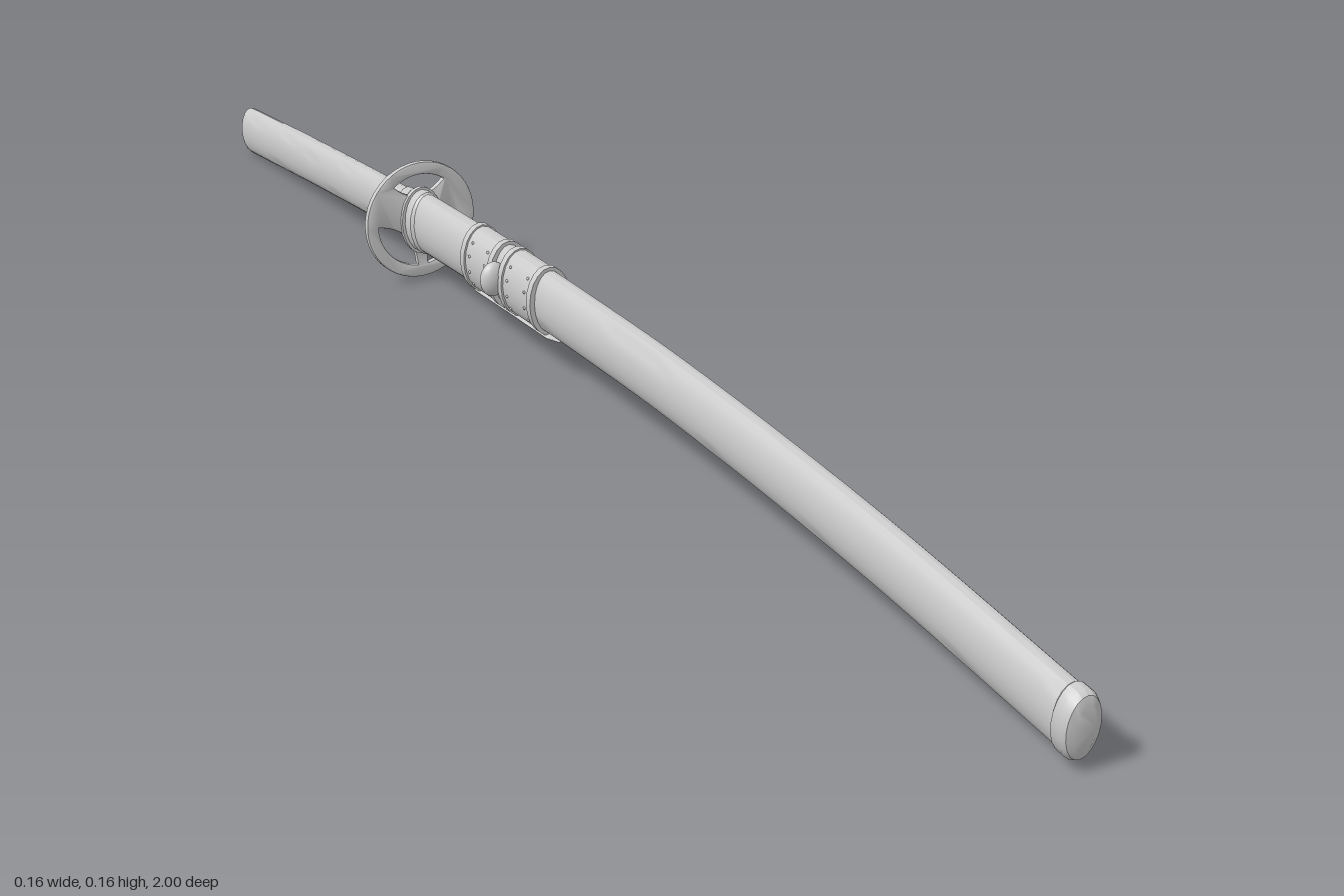
import * as THREE from 'three';
import { toCreasedNormals } from 'three/addons/utils/BufferGeometryUtils.js';

const SIDES = 20;
const GUARD_Z = -0.46;

// Height of the curved centre line along z
const curve = new THREE.CubicInterpolant(
  [-1, -0.75, -0.46, -0.2, 0, 0.2, 0.6, 1],
  [0.035, 0.0615, 0.087, 0.1, 0.105, 0.106, 0.09, 0.055], 1, new Float32Array(1));
const centreY = z => curve.evaluate(THREE.MathUtils.clamp(z, -1, 1))[0];
const slope = z => (centreY(z + 0.01) - centreY(z - 0.01)) / (Math.min(z + 0.01, 1) - Math.max(z - 0.01, -1));

// Loft of oval rings [z, half width, half height] standing square to the centre line
function loft(rings, lift = 0) {
  const pos = [], index = [];
  for (const [z, w, h] of rings) {
    const tilt = Math.atan(slope(z)), y = centreY(z);
    for (let j = 0; j < SIDES; j++) {
      const a = j / SIDES * Math.PI * 2, n = h * Math.sin(a) + lift;
      pos.push(w * Math.cos(a), y + n * Math.cos(tilt), z - n * Math.sin(tilt));
    }
  }
  const last = rings.length - 1;
  for (let i = 0; i < last; i++) for (let j = 0; j < SIDES; j++) {
    const k = (j + 1) % SIDES, a = i * SIDES, b = a + SIDES;
    index.push(a + j, a + k, b + k, a + j, b + k, b + j);
  }
  for (let j = 1; j < SIDES - 1; j++) {
    const e = last * SIDES;
    index.push(0, j + 1, j, e, e + j, e + j + 1);
  }
  const g = new THREE.BufferGeometry();
  g.setAttribute('position', new THREE.Float32BufferAttribute(pos, 3));
  g.setIndex(index);
  return toCreasedNormals(g, 0.6);
}

// Evenly spaced rings with sizes running from one end to the other
function run(z0, z1, w0, h0, w1, h1, steps) {
  return Array.from({ length: steps + 1 }, (_, i) => {
    const t = i / steps, mix = THREE.MathUtils.lerp;
    return [mix(z0, z1, t), mix(w0, w1, t), mix(h0, h1, t)];
  });
}

// Round guard pierced by three curved openings
function guardGeometry() {
  const shape = new THREE.Shape().absarc(0, 0, 0.077, 0, Math.PI * 2);
  for (const [from, to, pull] of [[178, 265, 0.01], [275, 346, 0], [52, 128, 0.012]]) {
    const a = THREE.MathUtils.degToRad(from), b = THREE.MathUtils.degToRad(to), m = (a + b) / 2, r = 0.064;
    const hole = new THREE.Path();
    hole.absarc(0, 0, r, a, b, false);
    hole.quadraticCurveTo(pull * Math.cos(m), pull * Math.sin(m), r * Math.cos(a), r * Math.sin(a));
    shape.holes.push(hole);
  }
  const g = new THREE.ExtrudeGeometry(shape, {
    depth: 0.005, curveSegments: 24, bevelThickness: 0.002, bevelSize: 0.002, bevelSegments: 2 });
  g.translate(0, 0, -0.0025);
  return toCreasedNormals(g, 0.6);
}

export function createModel() {
  const group = new THREE.Group();
  const material = new THREE.MeshStandardMaterial({ color: 0xcccccc });
  const add = (name, geometry, parent = group) => {
    const mesh = new THREE.Mesh(geometry, material);
    mesh.name = name;
    parent.add(mesh);
    return mesh;
  };

  // Curved scabbard with its end cap
  add('scabbard', loft(run(-0.45, 0.98, 0.0225, 0.041, 0.0215, 0.041, 32)));
  add('scabbardEndCap', loft([
    [0.967, 0.022, 0.0405], [0.97, 0.025, 0.043], [0.985, 0.025, 0.043],
    [0.992, 0.022, 0.039], [0.996, 0.014, 0.03]]));

  // Scabbard mouth collar and the washers on both sides of the guard
  add('mouthCollar', loft([[-0.452, 0.026, 0.043], [-0.436, 0.026, 0.043], [-0.432, 0.0225, 0.04]]));
  add('frontWasher', loft([[-0.458, 0.03, 0.046], [-0.451, 0.03, 0.046]]));
  add('rearWasher', loft([[-0.469, 0.024, 0.04], [-0.461, 0.024, 0.04]]));
  const guard = add('guard', guardGeometry());
  guard.position.set(0, centreY(GUARD_Z), GUARD_Z);
  guard.rotation.x = -Math.atan(slope(GUARD_Z));

  // Handle with collar and rounded pommel
  add('handleCollar', loft([[-0.495, 0.0185, 0.034], [-0.492, 0.02, 0.036], [-0.466, 0.02, 0.036]]));
  add('handle', loft([
    [-0.997, 0.013, 0.029], [-0.993, 0.016, 0.0325],
    ...run(-0.985, -0.466, 0.017, 0.0335, 0.0175, 0.033, 14)]));

  // Two wraps around the scabbard, each with raised rims and rivets
  for (const [z0, z1] of [[-0.29, -0.21], [-0.19, -0.105]]) {
    const wrap = new THREE.Group();
    wrap.name = 'wrap';
    group.add(wrap);
    add('wrapBand', loft(run(z0, z1, 0.0265, 0.0435, 0.0265, 0.0435, 4)), wrap);
    for (const z of [z0, z1 - 0.01])
      add('wrapRim', loft([[z, 0.029, 0.0455], [z + 0.01, 0.029, 0.0455]]), wrap);
    for (const side of [-1, 1]) for (const z of [z0 + 0.02, z1 - 0.02]) for (const a of [-0.7, -0.25, 0.25, 0.7]) {
      const rivet = add('rivet', new THREE.SphereGeometry(0.002, 8, 6), wrap);
      rivet.position.set(side * 0.0265 * Math.cos(a), centreY(z) + 0.0435 * Math.sin(a), z);
    }
  }

  // Strap running along the underside of the wraps
  add('underStrap', loft([
    [-0.31, 0.002, 0.001], [-0.29, 0.009, 0.003], [-0.2, 0.009, 0.003],
    [-0.1, 0.009, 0.003], [-0.08, 0.002, 0.001]], -0.046));

  // Cord knob on the right side, between the wraps
  const knob = add('cordKnob', new THREE.SphereGeometry(1, 20, 14));
  knob.scale.set(0.018, 0.023, 0.012);
  knob.position.set(-0.029, 0.104, -0.2);

  return group;
}
